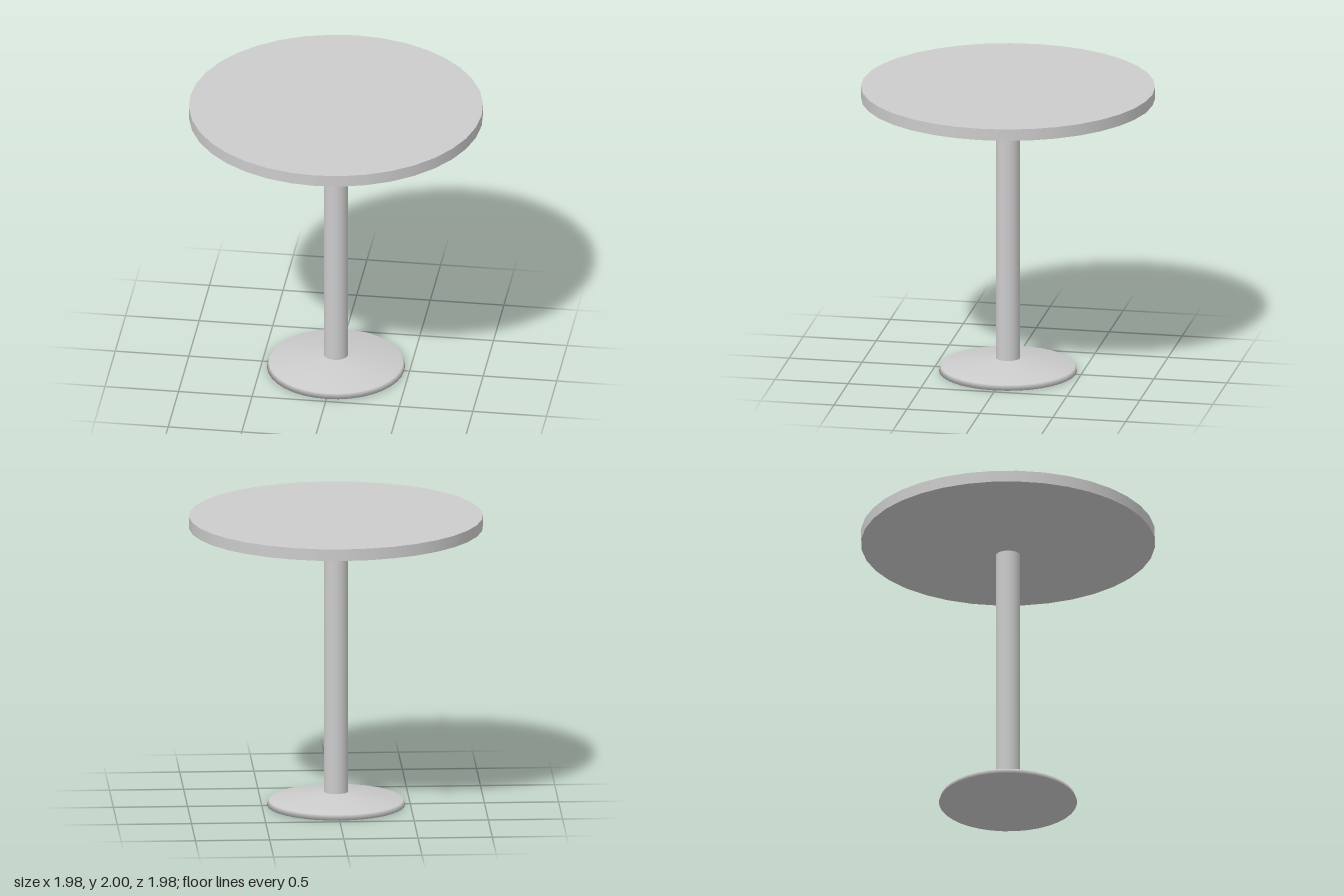
import * as THREE from 'three';

const SIDES = 36;

export function createModel() {
  const group = new THREE.Group();
  const material = new THREE.MeshStandardMaterial({ color: 0xcccccc });

  const add = (name, geometry, y = 0) => {
    const mesh = new THREE.Mesh(geometry, material);
    mesh.name = name;
    mesh.position.y = y;
    group.add(mesh);
  };

  // Upright disc between two heights
  const disc = (name, radius, bottom, top) =>
    add(name, new THREE.CylinderGeometry(radius, radius, top - bottom, SIDES), (bottom + top) / 2);

  // Round top, floating a little above the column
  disc('tableTop', 0.99, 1.92, 2);

  // Central column
  disc('column', 0.082, 0.09, 1.83);

  // Shallow conical foot with a slightly tapered rim, softly shaded
  const profile = [[0, 0], [0.465, 0], [0.452, 0.037], [0.082, 0.092], [0, 0.092]]
    .map(([r, y]) => new THREE.Vector2(r, y));
  add('foot', new THREE.LatheGeometry(profile, SIDES));

  return group;
}
